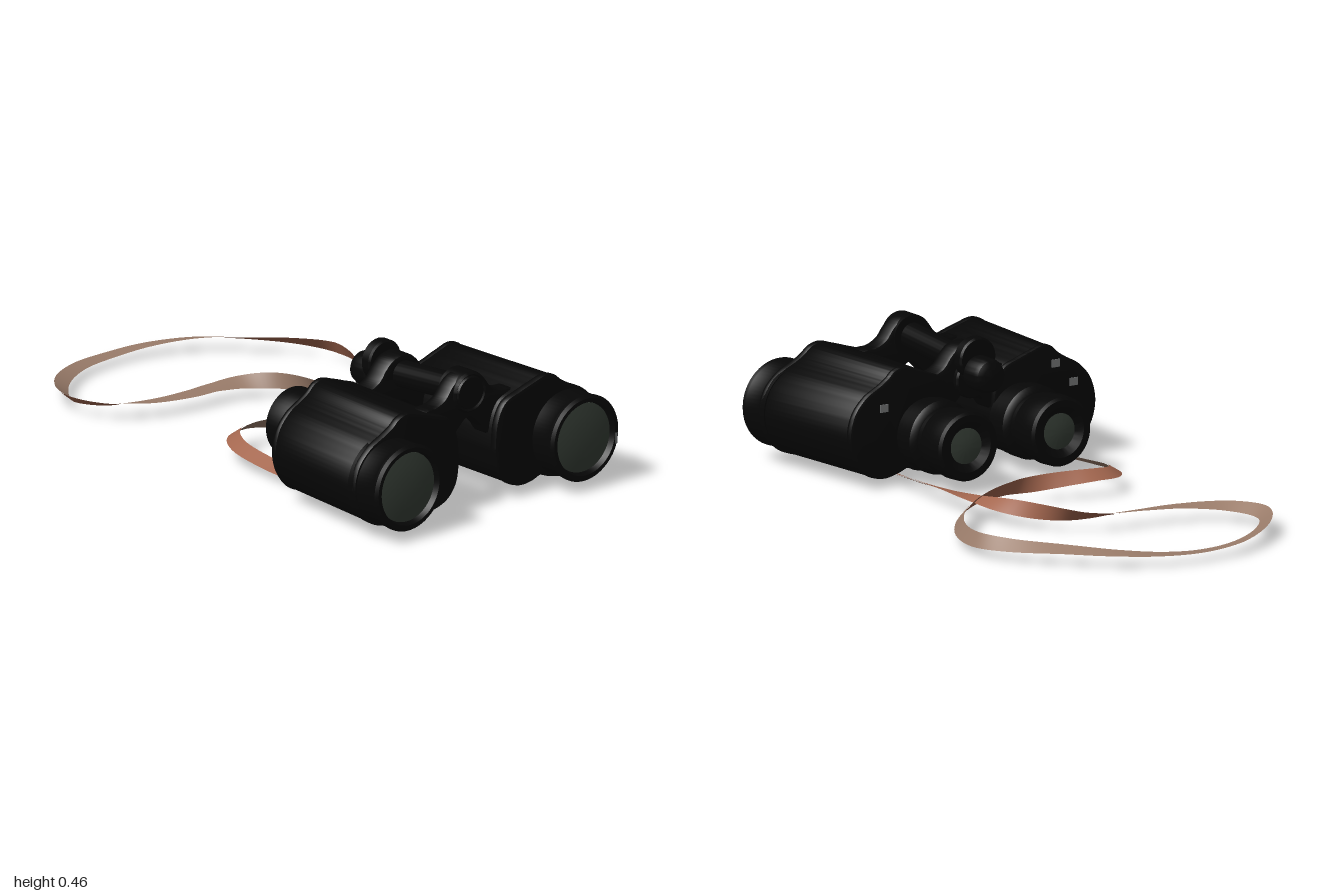
import * as THREE from 'three';
import { toCreasedNormals } from 'three/addons/utils/BufferGeometryUtils.js';

const mat = (name, color) => {
  const m = new THREE.MeshStandardMaterial({ color });
  m.name = name;
  return m;
};
const CX = -0.053; // x of the hinge axis

export function createModel() {
  const black = mat('black casing', 0x060606);
  const glass = mat('grey green glass', 0x373f37);
  const grey = mat('grey marking', 0x77797a);
  const leather = mat('red brown leather', 0xa4674f);
  const suede = mat('pale brown suede', 0x9a7c6a);
  const model = new THREE.Group();

  const add = (parent, name, geo, material, x = 0, y = 0, z = 0) => {
    const m = new THREE.Mesh(geo, material);
    m.name = name;
    m.position.set(x, y, z);
    parent.add(m);
    return m;
  };
  // Turned part along z, profile as [radius, z] from back to front
  const turned = (pts, seg = 48) => toCreasedNormals(
    new THREE.LatheGeometry(pts.map(p => new THREE.Vector2(...p)), seg).rotateX(Math.PI / 2), 0.6);
  const rod = (r, z0, z1, b = 0.006) => turned([[0, z0], [r - b, z0], [r, z0 + b], [r, z1 - b], [r - b, z1], [0, z1]]);
  const slab = (pts, z0, z1, bevel) => {
    const curve = new THREE.SplineCurve(pts.map(p => new THREE.Vector2(...p)));
    const outline = curve.getPoints(pts.length * 5);
    outline.pop();
    const g = new THREE.ExtrudeGeometry(new THREE.Shape(outline), {
      depth: z1 - z0 - 2 * bevel, bevelThickness: bevel, bevelSize: bevel, bevelOffset: -bevel, bevelSegments: 2, steps: 1,
    });
    return g.translate(0, 0, z0 + bevel);
  };

  // Prism housing section: inner lobe, bottom notch, barrel side, top lobe
  const section = [
    [0.076, 0.18], [0.088, 0.11], [0.125, 0.06], [0.185, 0.036], [0.235, 0.04], [0.272, 0.052], [0.31, 0.04],
    [0.376, 0.028], [0.451, 0.048], [0.506, 0.105], [0.527, 0.18], [0.508, 0.255], [0.458, 0.308], [0.40, 0.338],
    [0.365, 0.358], [0.335, 0.382], [0.295, 0.392], [0.245, 0.379], [0.19, 0.362], [0.12, 0.335], [0.085, 0.27],
    [0.076, 0.18],
  ];
  const housing = (s, z0, z1, bevel, inset) => {
    const pts = section.map(([x, y]) => [s * (0.29 + (x - 0.29) * (1 - inset)), 0.2 + (y - 0.2) * (1 - inset)]);
    const g = slab(pts, z0, z1, bevel);
    const p = g.attributes.position;
    // narrows toward the back
    for (let i = 0; i < p.count; i++) {
      const f = 0.89 + 0.11 * Math.min(1, (p.getZ(i) - 0.43) / 0.45);
      p.setX(i, s * (0.1 + (Math.abs(p.getX(i)) - 0.1) * f));
    }
    return toCreasedNormals(g, 0.6);
  };

  for (const s of [-1, 1]) {
    const half = new THREE.Group();
    half.name = s > 0 ? 'leftTube' : 'rightTube';
    half.position.x = CX;
    model.add(half);
    add(half, 'prismHousing', housing(s, 0.44, 0.88, 0.006, 0.012), black);
    add(half, 'rearCover', housing(s, 0.428, 0.455, 0.01, 0), black);
    add(half, 'frontCover', housing(s, 0.865, 0.897, 0.01, 0), black);

    // Objective barrel with recessed lens
    const ox = s * 0.377;
    add(half, 'objectiveBarrel', turned([
      [0, 0.86], [0.15, 0.86], [0.15, 0.885], [0.143, 0.895], [0.143, 0.975], [0.146, 0.98], [0.146, 0.988],
      [0.137, 0.998], [0.124, 0.998], [0.117, 0.975], [0, 0.975],
    ], 64), black, ox, 0.18);
    add(half, 'objectiveLens', turned([[0, 0.975], [0.118, 0.975], [0.117, 0.979], [0.08, 0.985], [0.04, 0.988],
      [0, 0.989]]), glass, ox, 0.18);

    // Eyepiece with adjusting ring and eyecup
    const ex = s * 0.182;
    add(half, 'eyepiece', turned([
      [0, 0.205], [0.06, 0.205], [0.085, 0.186], [0.106, 0.186], [0.115, 0.194], [0.117, 0.24], [0.113, 0.262],
      [0.111, 0.298], [0.107, 0.308], [0.101, 0.312], [0.101, 0.332], [0.114, 0.337], [0.123, 0.348], [0.123, 0.40],
      [0.117, 0.405], [0.117, 0.435], [0, 0.435],
    ]), black, ex, 0.162);
    add(half, 'eyeLens', turned([[0, 0.197], [0.03, 0.198], [0.06, 0.203]]), glass, ex, 0.162);
    // Plain marking plates on the rear cover
    for (const [x, y] of s > 0 ? [[0.35, 0.265]] : [[0.32, 0.325], [0.39, 0.255]])
      add(half, 'rearMark', new THREE.BoxGeometry(0.032, 0.026, 0.004), grey, s * x, y, 0.427);
  }
  add(model, 'rimMark', new THREE.BoxGeometry(0.008, 0.036, 0.004), grey, CX + 0.507, 0.155, 0.997);

  // Bridges joining the two tubes at the hinge
  const arm = [[0, 0.458], [0.04, 0.447], [0.072, 0.42], [0.10, 0.385], [0.14, 0.366], [0.18, 0.362], [0.2, 0.34],
    [0.18, 0.25], [0.12, 0.22], [0.075, 0.23], [0.05, 0.262], [0, 0.30]];
  const bridgePts = [...arm, ...arm.slice(0, -1).reverse().map(([x, y]) => [-x, y])];
  add(model, 'frontBridge', toCreasedNormals(slab(bridgePts, 0.785, 0.855, 0.014), 0.6), black, CX);
  add(model, 'rearBridge', toCreasedNormals(slab(bridgePts, 0.45, 0.53, 0.014), 0.6), black, CX, -0.025);

  // Hinge shaft, caps and focus wheel
  add(model, 'hingeShaft', rod(0.045, -0.19, 0.19), black, CX, 0.375, 0.63).rotation.x = -0.08;
  add(model, 'hingeCap', turned([[0, 0.78], [0.07, 0.78], [0.07, 0.855], [0.062, 0.863], [0.056, 0.858],
    [0.052, 0.864], [0, 0.868]]), black, CX, 0.388);
  add(model, 'hingeCollar', rod(0.07, 0.40, 0.442), black, CX, 0.388);
  add(model, 'focusWheel', turned([[0, 0.315], [0.035, 0.317], [0.052, 0.328], [0.058, 0.345], [0.058, 0.40],
    [0.048, 0.41], [0.048, 0.47], [0, 0.47]]), black, CX, 0.342);
  add(model, 'focusDisc', rod(0.064, 0.43, 0.46), black, CX, 0.314);

  // Strap path: x, y, z and tilt in degrees (over 90 shows the suede side)
  const path = [
    [-0.33, 0.026, 0.56, 15], [-0.35, 0.034, 0.4, 25], [-0.355, 0.046, 0.2, 30], [-0.335, 0.06, 0.04, 32],
    [-0.28, 0.068, -0.04, 35], [-0.2, 0.073, -0.055, 38], [-0.1, 0.068, -0.03, 55], [0, 0.06, -0.002, 82],
    [0.1, 0.058, 0, 114], [0.25, 0.054, -0.055, 130], [0.41, 0.05, -0.19, 130], [0.53, 0.05, -0.36, 124],
    [0.565, 0.05, -0.5, 118], [0.52, 0.05, -0.63, 138], [0.41, 0.05, -0.77, 156], [0.29, 0.045, -0.89, 168],
    [0.15, 0.036, -0.958, 177], [0, 0.03, -0.974, 183], [-0.16, 0.034, -0.945, 190], [-0.33, 0.045, -0.835, 205],
    [-0.415, 0.05, -0.7, 222], [-0.375, 0.05, -0.58, 208], [-0.25, 0.05, -0.495, 186], [-0.1, 0.05, -0.465, 172],
    [0, 0.052, -0.46, 166], [0.1, 0.055, -0.435, 142], [0.185, 0.06, -0.36, 102], [0.25, 0.062, -0.22, 55],
    [0.272, 0.06, -0.08, 15], [0.266, 0.052, 0.1, -12], [0.247, 0.04, 0.32, -25], [0.222, 0.027, 0.56, -15],
  ];
  const curve = new THREE.CatmullRomCurve3(path.map(p => new THREE.Vector3(p[0], p[1], p[2])));
  const up = new THREE.Vector3(0, 1, 0);
  // One face of the strap between two fractions of its path
  const ribbon = (face, t0 = 0, t1 = 1) => {
    const pos = [], idx = [], n0 = Math.ceil(240 * (t1 - t0));
    for (let i = 0; i <= n0; i++) {
      const t = t0 + (t1 - t0) * i / n0, k = Math.min(path.length - 2, Math.floor(t * (path.length - 1)));
      const a = THREE.MathUtils.degToRad(THREE.MathUtils.lerp(path[k][3], path[k + 1][3], t * (path.length - 1) - k));
      const c = curve.getPoint(t);
      const n = curve.getTangent(t).cross(up).normalize();
      const w = n.clone().multiplyScalar(Math.cos(a)).addScaledVector(up, Math.sin(a)).multiplyScalar(0.026);
      c.addScaledVector(n, -Math.sin(a) * face * 0.0015).addScaledVector(up, Math.cos(a) * face * 0.0015);
      pos.push(c.x - w.x, c.y - w.y, c.z - w.z, c.x + w.x, c.y + w.y, c.z + w.z);
      if (i < n0) {
        const j = i * 2;
        idx.push(...(face > 0 ? [j, j + 1, j + 2, j + 1, j + 3, j + 2] : [j, j + 2, j + 1, j + 1, j + 2, j + 3]));
      }
    }
    const g = new THREE.BufferGeometry();
    g.setAttribute('position', new THREE.Float32BufferAttribute(pos, 3));
    g.setIndex(idx);
    g.computeVertexNormals();
    return g;
  };
  add(model, 'strapOuterFace', ribbon(1), leather);
  add(model, 'strapInnerFace', ribbon(-1, 0.045, 0.95), suede);
  // Doubled-over strap ends show leather underneath
  add(model, 'strapEndUnderside', ribbon(-1, 0, 0.045), leather);
  add(model, 'strapEndUnderside', ribbon(-1, 0.95, 1), leather);

  // Folded strap ends under the housings
  add(model, 'strapEnd', new THREE.BoxGeometry(0.05, 0.042, 0.02), leather, -0.326, 0.04, 0.555).rotation.z = 0.3;
  add(model, 'strapEnd', new THREE.BoxGeometry(0.052, 0.045, 0.02), leather, 0.22, 0.0225, 0.555);

  return model;
}
